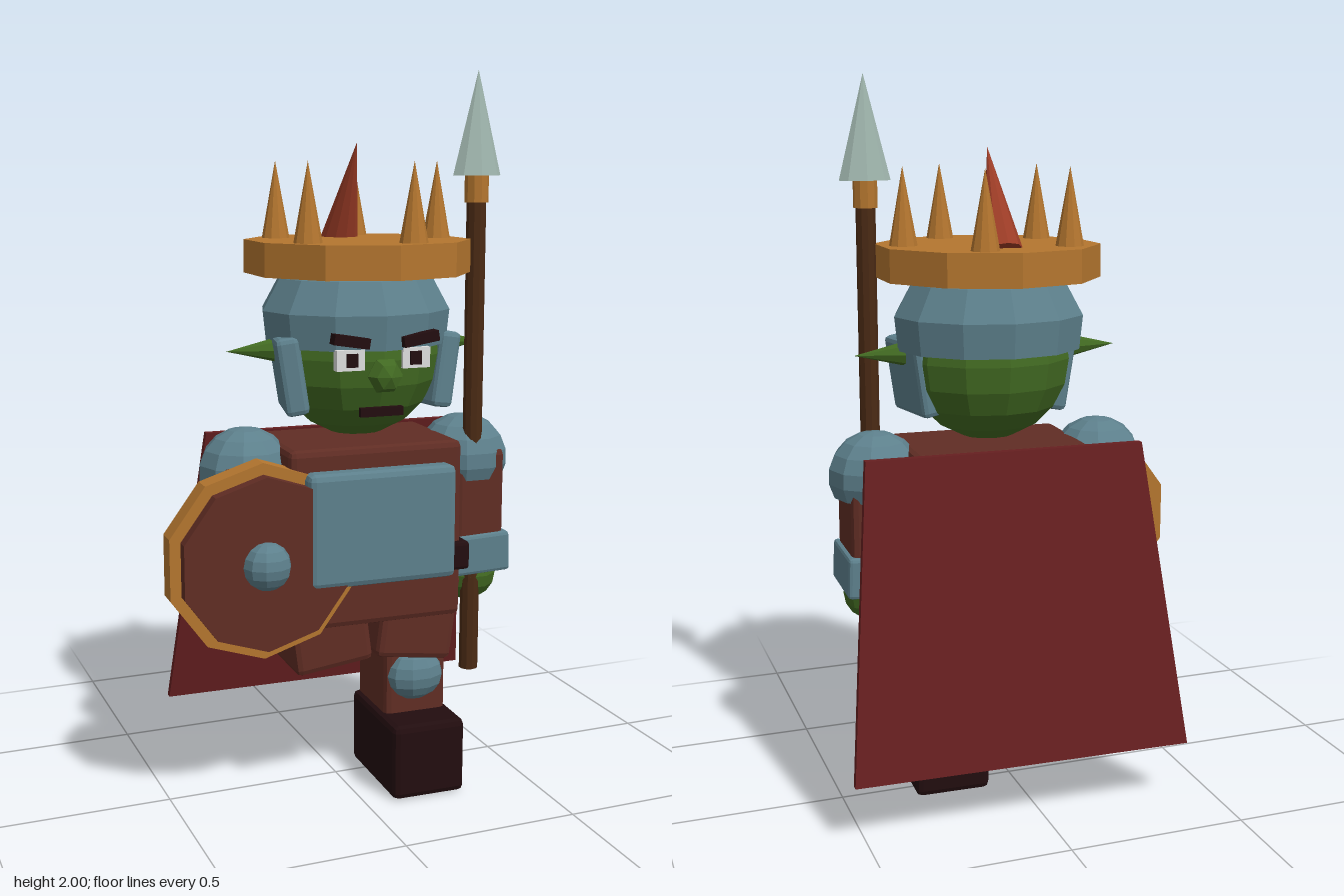
import * as THREE from 'three';
import { RoundedBoxGeometry } from 'three/addons/geometries/RoundedBoxGeometry.js';

const mat = (name, color) => new THREE.MeshStandardMaterial({ name, color });

// Faceted copy of a geometry
function facet(geo) {
  const g = geo.index ? geo.toNonIndexed() : geo;
  g.computeVertexNormals();
  return g;
}

const block = (w, h, d, r = 0.018) => new RoundedBoxGeometry(w, h, d, 1, r);
const ball = (rx, ry, rz, ws = 12, hs = 8) => new THREE.SphereGeometry(1, ws, hs).scale(rx, ry, rz);
const dome = (rx, ry, rz, ws, hs, cut) =>
  new THREE.SphereGeometry(1, ws, hs, 0, Math.PI * 2, 0, Math.PI * cut).scale(rx, ry, rz);

export function createModel() {
  const skin = mat('green skin', 0x426a22);
  const steel = mat('blue steel', 0x5d808c);
  const leather = mat('brown leather', 0x602d24);
  const gold = mat('gold', 0xb4762f);
  const cloth = mat('cape red', 0x661f20);
  const plume = mat('horn red', 0x9c3c26);
  const dark = mat('dark', 0x220d0f);
  const wood = mat('spear wood', 0x4a2a14);
  const silver = mat('spear silver', 0xa2b8b0);
  const white = mat('eye white', 0xdedede);
  const domeSteel = steel.clone();
  domeSteel.side = THREE.DoubleSide;

  const model = new THREE.Group();
  const body = new THREE.Group();
  body.name = 'goblinKing';
  body.position.set(0.053, 0, 0.023);
  body.rotation.y = -0.028;
  model.add(body);

  function add(name, geo, material, x, y, z, rx = 0, ry = 0, rz = 0) {
    const m = new THREE.Mesh(facet(geo), material);
    m.name = name;
    m.position.set(x, y, z);
    m.rotation.set(rx, ry, rz);
    body.add(m);
    return m;
  }

  // Torso, chest plate, belt
  add('torso', block(0.5, 0.5, 0.33), leather, 0, 0.755, 0.003);
  add('chestPlate', block(0.425, 0.315, 0.07), steel, 0, 0.79, 0.185);
  add('belt', block(0.54, 0.08, 0.36, 0.01), dark, 0, 0.68, 0.005);

  // Single leg with knee guard and boot
  add('leg', block(0.185, 0.36, 0.22), leather, 0.14, 0.35, 0.005);
  add('kneeGuard', ball(0.088, 0.075, 0.065, 10, 8), steel, 0.138, 0.325, 0.1);
  add('boot', block(0.215, 0.215, 0.335), dark, 0.138, 0.1085, 0.058);

  for (const s of [-1, 1]) {
    // Skirt panels
    add('skirtPanel', block(0.225, 0.25, 0.31), leather, s * 0.132, 0.51, 0.003, 0, 0, -s * 0.13);

    // Arms
    add('pauldron', dome(0.13, 0.122, 0.13, 10, 6, 0.66), domeSteel, s * 0.325, 0.928, 0);
    add('arm', block(0.15, 0.34, 0.2), leather, s * 0.335, 0.79, 0.01);
    add('cuff', block(0.18, 0.115, 0.225, 0.01), steel, s * 0.335, 0.66, 0.01, 0, 0, s * 0.04);
    add('hand', ball(0.082, 0.085, 0.09, 10, 8), skin, s * 0.335, 0.59, 0.022);

    // Ears and helmet cheek guards
    add('ear', new THREE.ConeGeometry(0.043, 0.18, 8), skin, s * 0.285, 1.258, 0.006, 0, 0, -s * Math.PI / 2);
    add('cheekGuard', block(0.065, 0.21, 0.2, 0.014), steel, s * 0.205, 1.195, 0.022, 0, s * 0.2, -s * 0.15);

    // Eyes and brows
    add('eye', new THREE.BoxGeometry(0.078, 0.055, 0.03), white, s * 0.093, 1.246, 0.19);
    add('pupil', new THREE.BoxGeometry(0.032, 0.036, 0.006), dark, s * 0.09, 1.246, 0.207);
    add('brow', new THREE.BoxGeometry(0.1, 0.028, 0.035), dark, s * 0.098, 1.298, 0.212, 0, 0, s * 0.16);
  }

  // Head
  add('head', ball(0.232, 0.23, 0.208, 12, 10), skin, 0, 1.24, 0);
  add('nose', ball(0.05, 0.045, 0.05, 6, 4), skin, -0.005, 1.205, 0.225, Math.PI / 2);
  add('mouth', new THREE.BoxGeometry(0.12, 0.024, 0.018), dark, -0.008, 1.107, 0.205);
  add('helmet', dome(0.27, 0.2, 0.24, 12, 4, 0.6), domeSteel, 0, 1.33, -0.012);

  // Crown with a ring of spikes and one leaning horn
  add('crown', new THREE.CylinderGeometry(0.31, 0.31, 0.09, 10), gold, 0, 1.505, 0.004);
  for (let i = 0; i < 5; i++) {
    const a = i * Math.PI * 2 / 5;
    add('crownSpike', new THREE.ConeGeometry(0.04, 0.22, 10), gold,
      Math.cos(a) * 0.234, 1.65, Math.sin(a) * 0.234 + 0.004);
  }
  add('crownHorn', new THREE.ConeGeometry(0.053, 0.3, 10), plume, 0, 1.675, -0.07, 0.48);

  // Shield
  add('shieldRim', new THREE.CylinderGeometry(0.268, 0.268, 0.065, 10), gold, -0.328, 0.717, 0.146, Math.PI / 2);
  add('shieldFace', new THREE.CylinderGeometry(0.237, 0.237, 0.04, 10), leather, -0.328, 0.717, 0.196, Math.PI / 2);
  add('shieldBoss', ball(0.065, 0.065, 0.06, 10, 8), steel, -0.332, 0.717, 0.22);

  // Spear
  add('spearShaft', new THREE.CylinderGeometry(0.027, 0.027, 1.36, 10), wood, 0.318, 0.995, 0.083);
  add('spearCollar', new THREE.CylinderGeometry(0.033, 0.033, 0.075, 10), gold, 0.318, 1.685, 0.083);
  add('spearHead', new THREE.ConeGeometry(0.071, 0.28, 8).scale(1, 1, 0.47), silver, 0.318, 1.86, 0.083);

  // Cape: a thin sheet that widens and leans back towards the hem
  const cape = new THREE.BoxGeometry(0.78, 0.832, 0.022);
  const p = cape.attributes.position;
  for (let i = 0; i < p.count; i++) {
    if (p.getY(i) < 0) {
      p.setX(i, p.getX(i) * 1.21);
      p.setZ(i, p.getZ(i) - 0.172);
    }
  }
  add('cape', cape, cloth, 0, 0.592, -0.17);

  return model;
}
